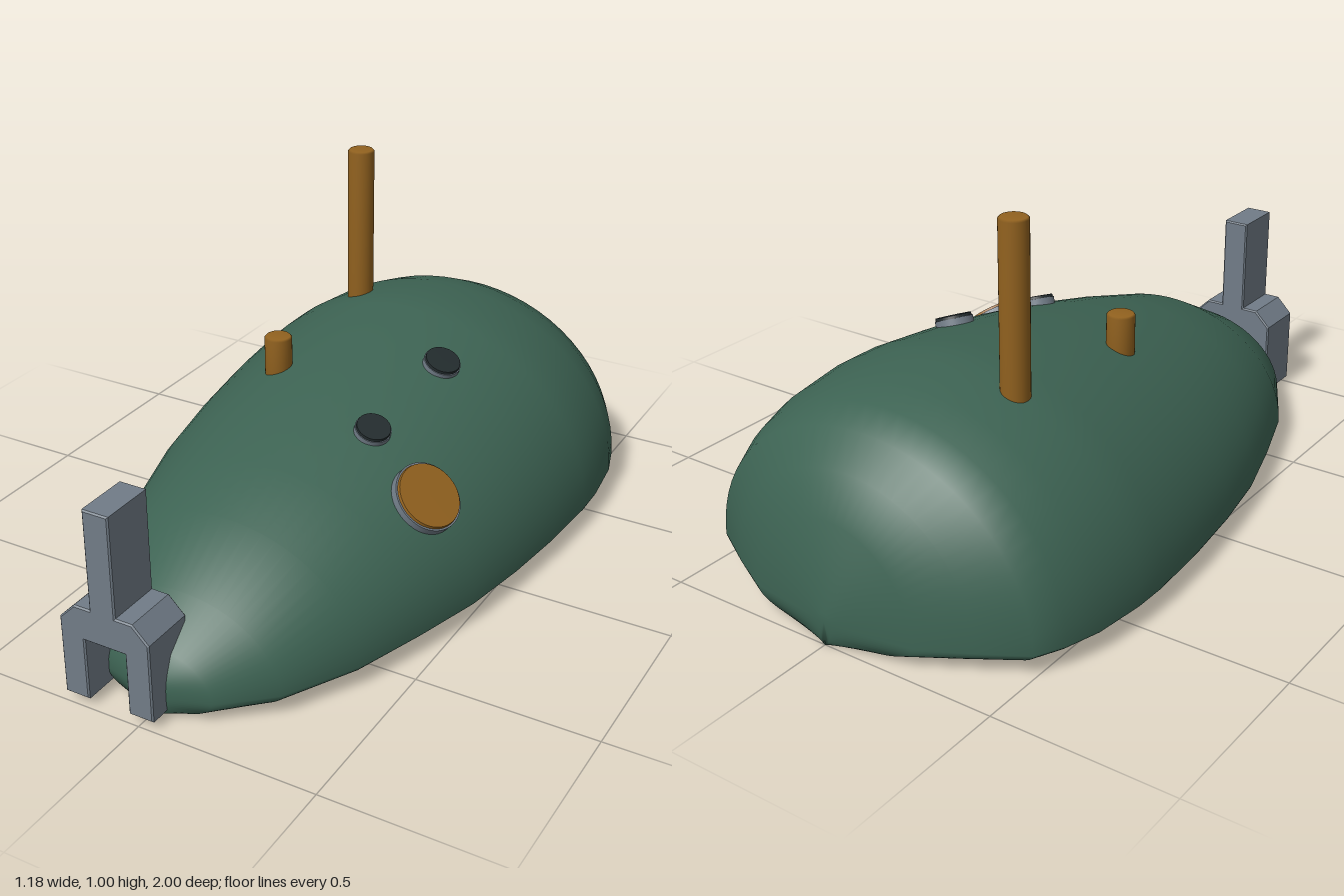
import * as THREE from 'three';

const mat = (name, color) => {
  const m = new THREE.MeshStandardMaterial({ color });
  m.name = name;
  return m;
};

// Closed hull lofted through rings: [z, half width, top height]
function hullGeometry(rings, sides = 64, rim = 0.065) {
  const pos = [], idx = [];
  for (const [z, w, top] of rings) {
    for (let j = 0; j < sides; j++) {
      const a = (j / sides) * Math.PI * 2, s = Math.sin(a);
      // tall dome above the rim, shallow belly below it
      pos.push(w * Math.cos(a), rim + s * (s > 0 ? top - rim : rim), z);
    }
  }
  for (let i = 0; i < rings.length - 1; i++) {
    for (let j = 0; j < sides; j++) {
      const k = (j + 1) % sides;
      const a = i * sides + j, b = i * sides + k, c = a + sides, d = b + sides;
      idx.push(a, b, c, b, d, c);
    }
  }
  // end caps
  const last = rings.length - 1;
  [0, last].forEach((r) => {
    const centre = pos.length / 3;
    pos.push(0, rim, rings[r][0]);
    for (let j = 0; j < sides; j++) {
      const a = r * sides + j, b = r * sides + ((j + 1) % sides);
      if (r === 0) idx.push(centre, b, a);
      else idx.push(centre, a, b);
    }
  });
  const g = new THREE.BufferGeometry();
  g.setAttribute('position', new THREE.Float32BufferAttribute(pos, 3));
  g.setIndex(idx);
  g.computeVertexNormals();
  return g;
}

export function createModel() {
  const green = mat('shellGreen', 0x3d6353);
  const brown = mat('brassBrown', 0x92621f);
  const grey = mat('metalGrey', 0x717c87);
  const dark = mat('buttonDark', 0x222b2d);
  const model = new THREE.Group();
  const add = (name, geometry, material, parent = model) => {
    const m = new THREE.Mesh(geometry, material);
    m.name = name;
    parent.add(m);
    return m;
  };

  // Teardrop shell, rear to front
  add('shell', hullGeometry([
    [-1, 0.02, 0.09], [-0.968, 0.25, 0.33], [-0.9, 0.38, 0.425], [-0.83, 0.5, 0.505],
    [-0.75, 0.54, 0.54], [-0.65, 0.57, 0.565], [-0.5, 0.588, 0.58], [-0.4, 0.59, 0.578],
    [-0.2, 0.578, 0.555], [0, 0.555, 0.522], [0.2, 0.52, 0.483], [0.4, 0.462, 0.436],
    [0.6, 0.395, 0.38], [0.8, 0.285, 0.275], [0.91, 0.155, 0.175], [0.945, 0.02, 0.1],
  ]), green);

  // Upright rods: [name, z, bottom, top]
  [['tallRod', -0.5, 0.42, 1], ['shortRod', -0.02, 0.4, 0.59]].forEach(([name, z, y0, y1]) => {
    const profile = [[0, y0], [0.039, y0], [0.039, y1 - 0.005], [0.034, y1], [0, y1]];
    const rod = add(name, new THREE.LatheGeometry(profile.map((p) => new THREE.Vector2(...p)), 32), brown);
    rod.position.set(-0.215, 0, z);
  });

  // Round discs on thin metal bezels, tilted to sit on the shell
  const disc = (name, r, material, position, normal) => {
    const g = new THREE.Group();
    g.name = name;
    add('bezel', new THREE.CylinderGeometry(r, r, 0.03, 40), grey, g).position.y = -0.01;
    add('face', new THREE.CylinderGeometry(r * 0.93, r * 0.95, 0.008, 40), material, g).position.y = 0.009;
    g.position.set(...position);
    g.quaternion.setFromUnitVectors(new THREE.Vector3(0, 1, 0), new THREE.Vector3(...normal).normalize());
    model.add(g);
  };
  disc('rearButton', 0.053, dark, [0.212, 0.53, -0.2], [0.36, 0.92, 0.16]);
  disc('frontButton', 0.05, dark, [0.185, 0.475, 0.155], [0.34, 0.92, 0.2]);
  disc('largeDial', 0.097, brown, [0.382, 0.357, 0.218], [0.64, 0.74, 0.2]);

  // Two-legged fork with a stem at the nose
  const outline = [
    [-0.22, 0.025], [-0.152, 0.025], [-0.152, 0.2], [-0.028, 0.2], [-0.028, 0.025], [0.04, 0.025],
    [0.04, 0.245], [-0.005, 0.29], [-0.055, 0.29], [-0.055, 0.57], [-0.127, 0.57], [-0.127, 0.29],
    [-0.175, 0.29], [-0.22, 0.245],
  ];
  const fork = new THREE.Shape(outline.map((p) => new THREE.Vector2(...p)));
  add('noseFork', new THREE.ExtrudeGeometry(fork, {
    depth: 0.148, bevelEnabled: true, bevelThickness: 0.004, bevelSize: 0.004, bevelOffset: -0.002, bevelSegments: 1,
  }), grey).position.z = 0.844;

  return model;
}
